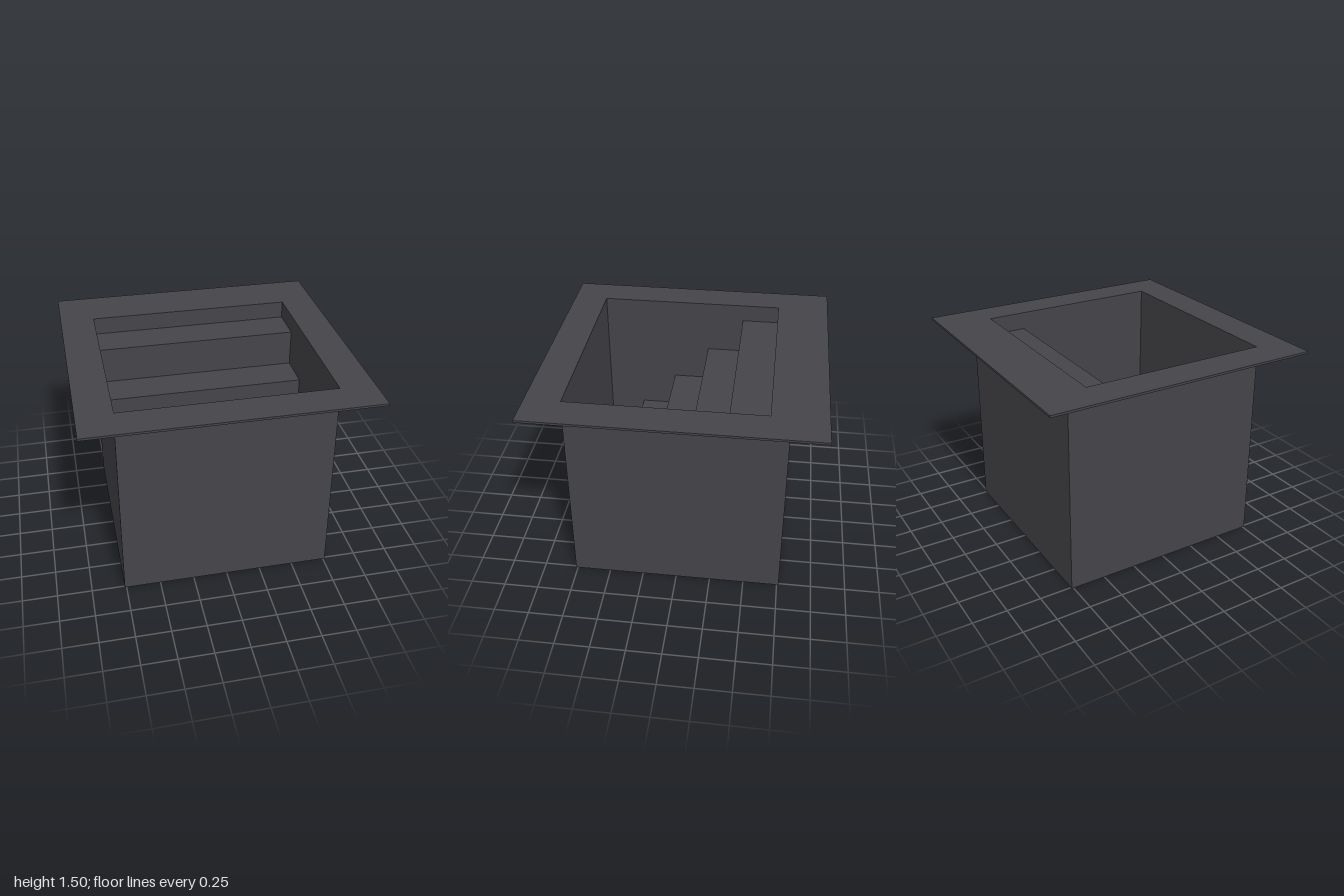
import * as THREE from 'three';

const H = 1.5;          // overall height
const RIM = 0.016;      // rim plate thickness
const IN = 0.75;        // half width of the pit
const BACK = -0.62;     // z of the pit's back wall
const STEPS = 5;
const STEP = (IN - BACK) / STEPS;

export function createModel() {
  const group = new THREE.Group();
  const charcoal = new THREE.MeshStandardMaterial({ color: 0x454449 });
  charcoal.name = 'charcoal';
  charcoal.flatShading = true;

  const add = (name, geometry, x = 0, y = 0, z = 0) => {
    const mesh = new THREE.Mesh(geometry, charcoal);
    mesh.name = name;
    mesh.position.set(x, y, z);
    group.add(mesh);
    return mesh;
  };

  // Outer walls, slightly wider at the foot
  const bodyH = H - RIM;
  const shell = new THREE.CylinderGeometry(0.755 * Math.SQRT2, 0.763 * Math.SQRT2, bodyH, 4, 1, true);
  shell.rotateY(Math.PI / 4);
  add('outerWalls', shell, 0, bodyH / 2, 0);

  // Underside
  add('base', new THREE.PlaneGeometry(1.526, 1.526).rotateX(Math.PI / 2));

  // Flat square rim with the pit opening cut out (shape y is -z)
  const rim = new THREE.Shape([[-1, -1], [1, -1], [1, 1], [-1, 1]].map(p => new THREE.Vector2(...p)));
  rim.holes.push(new THREE.Path(
    [[-IN, -IN], [-IN, -BACK], [IN, -BACK], [IN, -IN]].map(p => new THREE.Vector2(...p))));
  const rimGeo = new THREE.ExtrudeGeometry(rim, { depth: RIM, bevelEnabled: false });
  rimGeo.rotateX(-Math.PI / 2);
  add('rim', rimGeo, 0, H - RIM, 0);

  // Staircase and back wall: side profile in z and y, extruded across x
  const profile = new THREE.Shape();
  profile.moveTo(-IN, 0.005);
  profile.lineTo(-IN, H - RIM);
  profile.lineTo(BACK, H - RIM);
  for (let i = 0; i < STEPS; i++) {
    const y = STEP * (STEPS - i);
    profile.lineTo(BACK + STEP * i, y);
    profile.lineTo(BACK + STEP * (i + 1), y);
  }
  profile.lineTo(IN, 0.005);
  const stairs = new THREE.ExtrudeGeometry(profile, { depth: 2 * IN, bevelEnabled: false });
  stairs.rotateY(-Math.PI / 2);
  add('stairs', stairs, IN, 0, 0);

  // Inner faces of the pit's left, right and front walls
  const inner = new THREE.PlaneGeometry(2 * IN, bodyH);
  for (const s of [-1, 1]) {
    const side = add(s > 0 ? 'leftInnerWall' : 'rightInnerWall', inner, s * IN, bodyH / 2, 0);
    side.rotation.y = -s * Math.PI / 2;
  }
  add('frontInnerWall', inner, 0, bodyH / 2, IN).rotation.y = Math.PI;

  return group;
}
